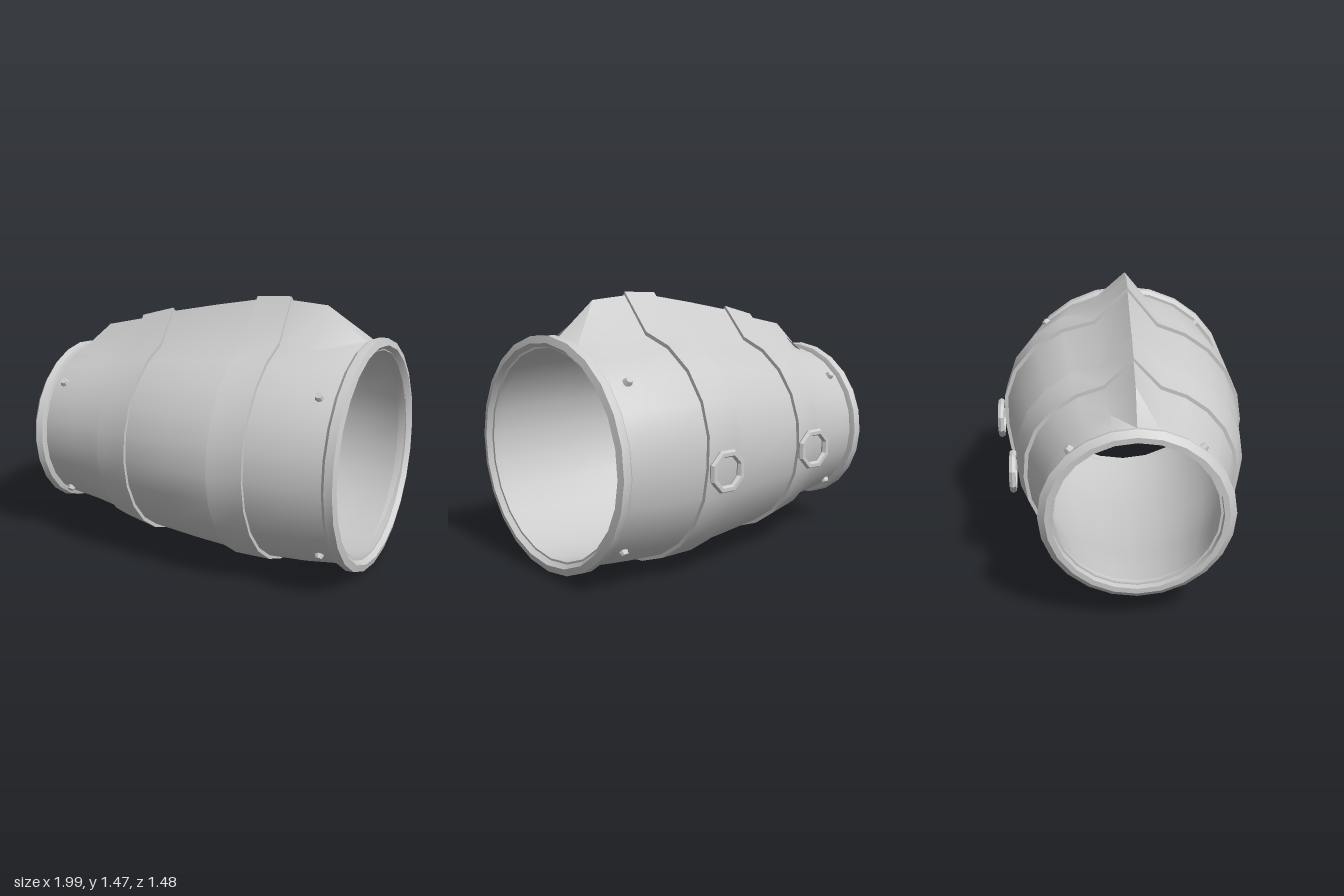
import * as THREE from 'three';
import { toCreasedNormals } from 'three/addons/utils/BufferGeometryUtils.js';

const SIDES = 24;
const TURN = Math.PI * 2;

// Shell stations along the arm: u, half height, front depth, back depth, ridge height
const STATIONS = [
  [-0.92, 0.43, 0.45, 0.45, 0.43],
  [-0.87, 0.44, 0.465, 0.465, 0.45],
  [-0.7, 0.465, 0.49, 0.49, 0.6],
  [-0.475, 0.51, 0.545, 0.565, 0.65],
  [-0.275, 0.555, 0.595, 0.615, 0.705],
  [0, 0.585, 0.64, 0.665, 0.76],
  [0.25, 0.612, 0.655, 0.7, 0.805],
  [0.45, 0.62, 0.65, 0.695, 0.815],
  [0.66, 0.615, 0.64, 0.675, 0.8],
  [0.87, 0.597, 0.615, 0.635, 0.62],
  [0.92, 0.59, 0.61, 0.62, 0.6],
];

function stationAt(u) {
  let i = 0;
  while (i < STATIONS.length - 2 && u > STATIONS[i + 1][0]) i++;
  const a = STATIONS[i], b = STATIONS[i + 1];
  const t = (u - a[0]) / (b[0] - a[0]);
  return a.map((v, k) => v + (b[k] - v) * t);
}

// Point on the shell; angle runs from the top towards the front
function shellPoint(u, angle, offset) {
  const [, ry, zf, zb, apex] = stationAt(u);
  if (angle === 0) return [u, apex + offset, 0];
  const c = Math.cos(angle), s = Math.sin(angle);
  // the upper back is a little fuller
  const k = c > 0 && s < 0 ? 1 - 1.6 * (zb - zf) * 2 * s * c : 1;
  return [u, c * (ry + offset) * k, s * ((s > 0 ? zf : zb) + offset) * k];
}

function shellRing(u, offset) {
  return Array.from({ length: SIDES }, (_, j) => shellPoint(u, (j / SIDES) * TURN, offset));
}

function ellipseRing(u, ry, rz) {
  return Array.from({ length: SIDES }, (_, j) => {
    const a = (j / SIDES) * TURN;
    return [u, Math.cos(a) * ry, Math.sin(a) * rz];
  });
}

// Joins rings of points into a closed solid of revolution-like form
function loft(rings) {
  const index = [];
  const n = rings.length;
  for (let i = 0; i < n; i++) {
    for (let j = 0; j < SIDES; j++) {
      const i2 = (i + 1) % n, j2 = (j + 1) % SIDES;
      const a = i * SIDES + j, b = i * SIDES + j2;
      const c = i2 * SIDES + j, d = i2 * SIDES + j2;
      index.push(a, b, c, b, d, c);
    }
  }
  const geo = new THREE.BufferGeometry();
  geo.setAttribute('position', new THREE.Float32BufferAttribute(rings.flat(2), 3));
  geo.setIndex(index);
  return toCreasedNormals(geo, 0.6);
}

export function createModel() {
  const metal = new THREE.MeshStandardMaterial({ color: 0xcccccc });
  metal.name = 'light grey metal';

  const model = new THREE.Group();
  model.name = 'armGuard';
  const body = new THREE.Group();
  body.name = 'tiltedBody';
  body.position.y = 0.632;
  body.rotation.set(0, -0.086, 0.028);
  model.add(body);

  const add = (name, geo) => {
    const mesh = new THREE.Mesh(geo, metal);
    mesh.name = name;
    body.add(mesh);
    return mesh;
  };

  // Ridged shell with an outer and an inner wall
  const us = STATIONS.map((s) => s[0]);
  add('shell', loft([
    ...us.map((u) => shellRing(u, 0)),
    ...us.slice().reverse().map((u) => shellRing(u, -0.03)),
  ]));

  // Raised bands that follow the shell
  for (const [name, u0, u1] of [['wristBand', -0.475, -0.275], ['elbowBand', 0.25, 0.45]]) {
    add(name, loft([
      shellRing(u0, -0.01), shellRing(u0, 0.02), shellRing(u1, 0.02), shellRing(u1, -0.01),
    ]));
  }

  // Bevelled end rims: profile of u and scale
  const rim = (name, ry, rz, profile) =>
    add(name, loft(profile.map(([u, k]) => ellipseRing(u, ry * k, rz * k))));
  rim('wristRim', 0.47, 0.5, [
    [-0.955, 0.87], [-0.955, 0.93], [-0.925, 1], [-0.89, 0.985], [-0.88, 0.93], [-0.88, 0.86],
  ]);
  rim('elbowRim', 0.63, 0.658, [
    [0.87, 0.9], [0.87, 0.97], [0.89, 1], [0.935, 1], [0.945, 0.94], [0.915, 0.9],
  ]);

  // Rivets, four near each end
  const up = new THREE.Vector3(0, 1, 0);
  const rivetGeo = new THREE.CylinderGeometry(0.018, 0.028, 0.03, 8).toNonIndexed();
  rivetGeo.computeVertexNormals();
  for (const u of [-0.817, 0.785]) {
    for (let q = 0; q < 4; q++) {
      const angle = (q + 0.5) * Math.PI / 2;
      const rivet = add('rivet', rivetGeo);
      rivet.position.set(...shellPoint(u, angle, 0.006));
      rivet.quaternion.setFromUnitVectors(
        up, new THREE.Vector3(0, Math.cos(angle), Math.sin(angle)));
    }
  }

  // Octagonal strap loops at the back
  const loopGeo = toCreasedNormals(new THREE.TorusGeometry(0.098, 0.02, 6, 8), 0.6);
  for (const [u, z] of [[-0.378, -0.645], [0.359, -0.751]]) {
    const loop = add('strapLoop', loopGeo);
    loop.position.set(u, -0.01, z);
    loop.rotation.z = Math.PI / 8;
  }

  return model;
}
